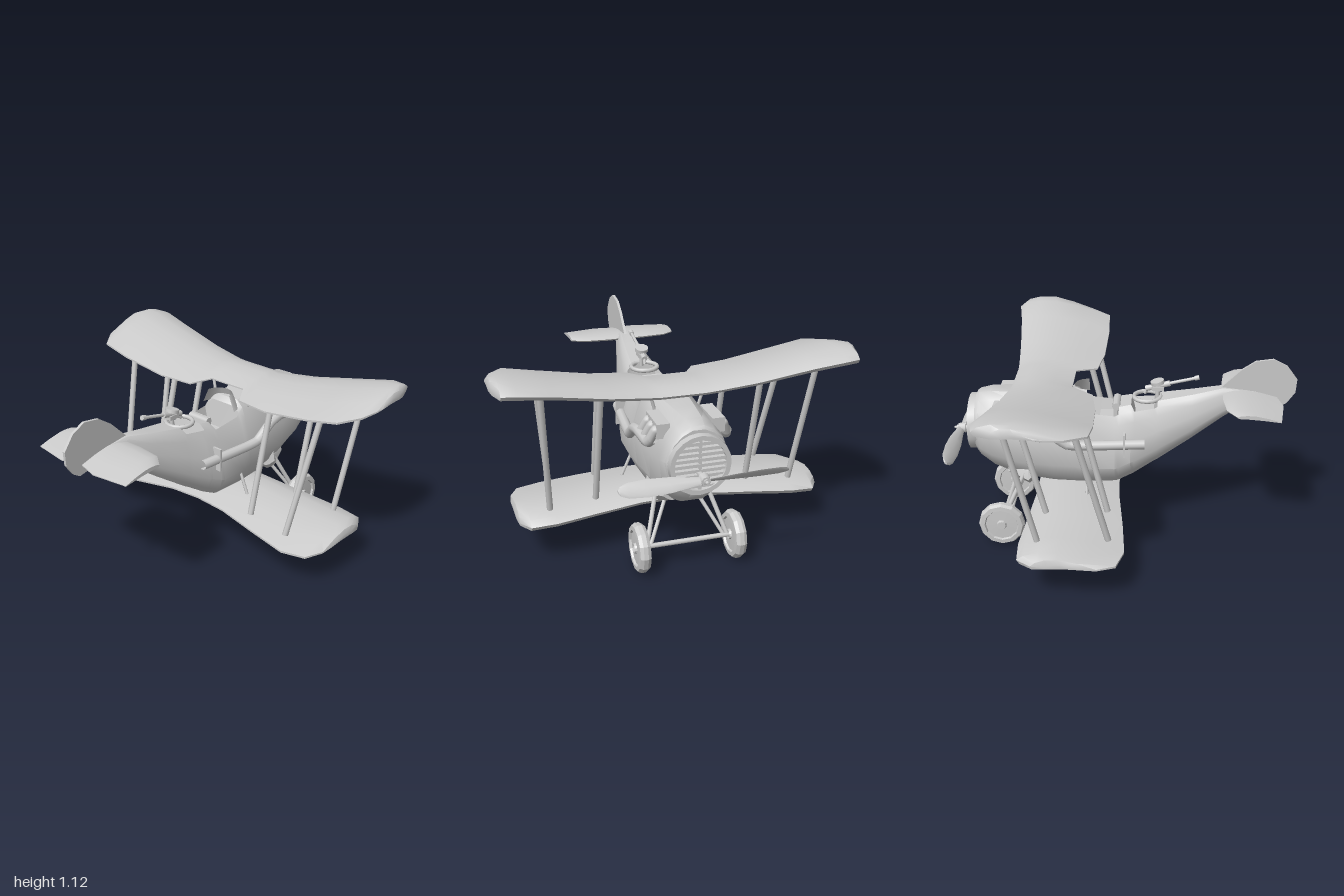
import * as THREE from 'three';
import { toCreasedNormals } from 'three/addons/utils/BufferGeometryUtils.js';

const mat = new THREE.MeshStandardMaterial({ color: 0xcccccc });
const matDouble = new THREE.MeshStandardMaterial({ color: 0xcccccc, side: THREE.DoubleSide });
const V = (x, y, z) => new THREE.Vector3(x, y, z);

export function createModel() {
  const model = new THREE.Group();
  const add = (name, geo, material = mat) => {
    const mesh = new THREE.Mesh(geo, material);
    mesh.name = name;
    model.add(mesh);
    return mesh;
  };

  // Skin a list of equal-length rings, closed at both ends
  const loft = (rings, crease = 0.6) => {
    const pos = [], idx = [], n = rings[0].length;
    rings.forEach(r => r.forEach(p => pos.push(p.x, p.y, p.z)));
    for (let i = 0; i < rings.length - 1; i++) for (let j = 0; j < n; j++) {
      const a = i * n + j, b = i * n + (j + 1) % n;
      idx.push(a, b, b + n, a, b + n, a + n);
    }
    [0, rings.length - 1].forEach((i, end) => {
      const c = rings[i].reduce((s, p) => s.add(p), V(0, 0, 0)).divideScalar(n);
      const k = pos.length / 3;
      pos.push(c.x, c.y, c.z);
      for (let j = 0; j < n; j++) {
        const a = i * n + j, b = i * n + (j + 1) % n;
        if (end) idx.push(k, a, b); else idx.push(k, b, a);
      }
    });
    const g = new THREE.BufferGeometry();
    g.setAttribute('position', new THREE.Float32BufferAttribute(pos, 3));
    g.setIndex(idx);
    return toCreasedNormals(g, crease);
  };

  // Round bar between two points
  const rod = (name, a, b, r, r2 = r, sides = 8) => {
    const d = b.clone().sub(a);
    const m = add(name, new THREE.CylinderGeometry(r2, r, d.length(), sides));
    m.position.copy(a).add(b).multiplyScalar(0.5);
    m.quaternion.setFromUnitVectors(V(0, 1, 0), d.normalize());
    return m;
  };
  const tube = (name, pts, r) => {
    const path = new THREE.CurvePath();
    pts.slice(1).forEach((p, i) => path.add(new THREE.LineCurve3(pts[i], p)));
    const curve = new THREE.CatmullRomCurve3(pts, false, 'catmullrom', 0.15);
    return add(name, new THREE.TubeGeometry(curve, 32, r, 10), matDouble);
  };

  // Fuselage: each row is z, bottom, top, half width, boxiness, cockpit depth
  const levels = [0, 0.08, 0.25, 0.55, 0.8, 0.93, 1];
  const round = [0.25, 0.54, 0.87, 1, 0.8, 0.51, 0.2];
  const boxy = [0.65, 0.8, 1, 0.93, 0.75, 0.62, 0.42];
  const section = ([z, yb, yt, w, k = 1, dip = 0]) => {
    const half = levels.map((f, i) => V(
      w * (dip && i === 6 ? 0.5 : THREE.MathUtils.lerp(round[i], boxy[i], k)),
      yb + (yt - yb) * f - (i === 6 ? dip : 0), z));
    return [...half, ...half.slice().reverse().map(p => V(-p.x, p.y, p.z))];
  };
  add('fuselage', loft([
    [-0.85, 0.5, 0.86, 0.165, 0], [-0.83, 0.47, 0.875, 0.175, 0], [-0.76, 0.42, 0.89, 0.185, 0.2],
    [-0.6, 0.37, 0.89, 0.195, 0.5], [-0.4, 0.36, 0.885, 0.2, 0.9], [-0.27, 0.36, 0.88, 0.2],
    [-0.24, 0.36, 0.85, 0.2], [-0.22, 0.36, 0.83, 0.2, 1, 0.14], [-0.04, 0.365, 0.81, 0.195, 1, 0.14],
    [-0.02, 0.37, 0.82, 0.19], [0.05, 0.405, 0.835, 0.18], [0.07, 0.415, 0.835, 0.175, 1, 0.1],
    [0.18, 0.485, 0.845, 0.15, 1, 0.1], [0.2, 0.495, 0.855, 0.145], [0.4, 0.63, 0.89, 0.105],
    [0.57, 0.75, 0.925, 0.06], [0.78, 0.88, 0.9, 0.01]].map(section)));
  add('bellyScoop', loft([[-0.67, 0.385, 0.5, 0.13], [-0.55, 0.325, 0.52, 0.17],
    [-0.52, 0.36, 0.58, 0.19]].map(section)));

  // Wings: each row is x, leading z, trailing z, leading y, trailing y, thickness
  const foil = [[0, 0.3], [0.07, 0.65], [0.22, 0.93], [0.42, 1], [0.7, 0.7], [1, 0.15],
    [1, 0], [0.6, 0.12], [0.25, 0.1], [0.03, 0]];
  const wing = (name, rows) => {
    const all = [...rows.slice(1).reverse().map(([x, ...r]) => [-x, ...r]), ...rows];
    return add(name, loft(all.map(([x, zl, zt, yl, yt, th]) =>
      foil.map(([t, u]) => V(x, yl + (yt - yl) * t + th * u, zl + (zt - zl) * t))), 0.7));
  };
  wing('upperWing', [[0, -0.62, -0.28, 0.945, 0.95, 0.05], [0.12, -0.62, -0.28, 0.945, 0.95, 0.05],
    [0.19, -0.625, -0.16, 0.95, 0.935, 0.055], [0.4, -0.645, -0.13, 0.975, 0.94, 0.06],
    [0.7, -0.68, -0.12, 1.03, 0.985, 0.07], [0.88, -0.71, -0.13, 1.06, 1.02, 0.075],
    [0.96, -0.69, -0.24, 1.06, 1.035, 0.075], [0.99, -0.6, -0.34, 1.06, 1.05, 0.06],
    [1, -0.54, -0.38, 1.065, 1.06, 0.03]]);
  wing('lowerWing', [[0, -0.5, -0.02, 0.285, 0.285, 0.07], [0.2, -0.5, -0.01, 0.28, 0.28, 0.07],
    [0.45, -0.52, 0.02, 0.26, 0.25, 0.075], [0.68, -0.54, 0.04, 0.24, 0.22, 0.08],
    [0.82, -0.53, 0, 0.23, 0.22, 0.08], [0.87, -0.45, -0.1, 0.23, 0.23, 0.065],
    [0.88, -0.38, -0.17, 0.24, 0.24, 0.03]]);
  wing('tailplane', [[0, 0.57, 0.88, 0.885, 0.865, 0.035], [0.12, 0.57, 0.91, 0.885, 0.86, 0.035],
    [0.26, 0.585, 0.89, 0.885, 0.86, 0.03], [0.33, 0.64, 0.88, 0.88, 0.86, 0.025]]);

  // Tail fin with rudder
  const fin = new THREE.Shape([[0.55, 0.91], [0.67, 1.03], [0.75, 1.085], [0.85, 1.1], [0.93, 1.06],
    [0.99, 0.98], [0.985, 0.9], [0.94, 0.835], [0.9, 0.81], [0.83, 0.825], [0.74, 0.87]]
    .map(p => new THREE.Vector2(...p)));
  const finGeo = new THREE.ExtrudeGeometry(fin, { depth: 0.016, bevelEnabled: false });
  add('tailFin', finGeo.rotateY(-Math.PI / 2).translate(0.008, 0, 0));

  // Nose ring and radiator grille
  const ring = new THREE.LatheGeometry([[0.14, -0.03], [0.165, -0.03], [0.165, 0.03], [0.14, 0.03], [0.14, -0.03]]
    .map(p => new THREE.Vector2(...p)), 20);
  add('noseRing', toCreasedNormals(ring.rotateX(Math.PI / 2), 0.6), matDouble).position.set(0, 0.68, -0.862);
  for (let i = -4; i <= 4; i++) {
    const y = i * 0.03;
    const bar = add('grilleSlat', new THREE.BoxGeometry(2 * Math.sqrt(0.145 ** 2 - y * y), 0.012, 0.025));
    bar.position.set(0, 0.68 + y, -0.872);
  }
  add('grillePost', new THREE.BoxGeometry(0.015, 0.28, 0.02)).position.set(0, 0.68, -0.872);

  // Propeller
  rod('propellerShaft', V(0, 0.63, -0.85), V(0, 0.63, -0.985), 0.016);
  rod('propellerHub', V(0, 0.63, -0.93), V(0, 0.63, -0.975), 0.032, 0.025, 10);
  rod('spinner', V(0, 0.63, -0.975), V(0, 0.63, -1), 0.014, 0.006);
  const blade = [[0.01, 0.02, 0.9], [0.08, 0.028, 0.85], [0.18, 0.042, 0.8], [0.3, 0.047, 0.75],
    [0.4, 0.04, 0.7], [0.44, 0.025, 0.7], [0.452, 0.01, 0.7]].map(([x, c, tilt]) =>
    Array.from({ length: 8 }, (_, i) => {
      const a = i * Math.PI / 4, u = Math.cos(a) * c, v = Math.sin(a) * 0.007;
      return V(x, u * Math.cos(tilt) - v * Math.sin(tilt), u * Math.sin(tilt) + v * Math.cos(tilt));
    }));
  for (const turn of [0, Math.PI]) {
    const b = add('propellerBlade', loft(blade));
    b.position.set(0, 0.63, -0.957);
    b.rotation.z = turn;
  }

  // Parts mirrored left and right
  const tyre = [[0, -0.02], [0.025, -0.035], [0.03, -0.022], [0.095, -0.02], [0.1, -0.032], [0.125, -0.03],
    [0.136, -0.012], [0.136, 0.012], [0.125, 0.03], [0.1, 0.032], [0.095, 0.02], [0.03, 0.022],
    [0.025, 0.035], [0, 0.035]].map(p => new THREE.Vector2(...p));
  for (const s of [1, -1]) {
    // Wing struts
    rod('innerRearStrut', V(s * 0.37, 0.96, -0.23), V(s * 0.37, 0.3, -0.07), 0.018);
    rod('innerFrontStrut', V(s * 0.44, 1, -0.58), V(s * 0.44, 0.31, -0.41), 0.018);
    rod('outerRearStrut', V(s * 0.72, 1.01, -0.23), V(s * 0.64, 0.28, -0.05), 0.018);
    rod('outerFrontStrut', V(s * 0.755, 1.06, -0.6), V(s * 0.7, 0.29, -0.43), 0.018);
    for (const z of [-0.33, -0.49]) {
      rod('cabaneStrut', V(s * 0.12, 0.83, z + 0.01), V(s * 0.16, 0.97, z), 0.009);
    }
    rod('wingRootBrace', V(s * 0.18, 0.46, -0.2), V(s * 0.24, 0.32, -0.2), 0.009);

    // Undercarriage
    const wheel = add('wheel', toCreasedNormals(new THREE.LatheGeometry(tyre, 12), 0.4));
    wheel.rotation.z = Math.PI / 2;
    wheel.position.set(s * 0.27, 0.14, -0.7);
    rod('frontWheelStrut', V(s * 0.23, 0.14, -0.7), V(s * 0.14, 0.42, -0.57), 0.013);
    rod('rearWheelStrut', V(s * 0.21, 0.14, -0.7), V(s * 0.07, 0.4, -0.56), 0.011);

    // Exhaust manifold, stubs and long pipe
    tube('exhaustPipe', [V(s * 0.2, 0.78, -0.71), V(s * 0.215, 0.74, -0.66), V(s * 0.22, 0.74, -0.5),
      V(s * 0.22, 0.72, -0.42), V(s * 0.215, 0.64, -0.31), V(s * 0.205, 0.63, -0.22),
      V(s * 0.17, 0.63, 0.13)], 0.029);
    for (const z of [-0.7, -0.63, -0.56]) {
      tube('exhaustStub', [V(s * 0.13, 0.825, z), V(s * 0.185, 0.82, z), V(s * 0.215, 0.74, z + 0.03)], 0.025);
    }
    add('cylinderBank', new THREE.BoxGeometry(0.07, 0.08, 0.2)).position.set(s * 0.15, 0.82, -0.63);
    add('pipeBracket', new THREE.BoxGeometry(0.08, 0.14, 0.012)).position.set(s * 0.17, 0.63, 0.015);
  }
  rod('axle', V(-0.27, 0.14, -0.7), V(0.27, 0.14, -0.7), 0.014);
  rod('axleSpreader', V(-0.22, 0.125, -0.67), V(0.22, 0.125, -0.67), 0.01);

  // Pilot's cockpit: windscreen, seat and padded rim
  const screen = new THREE.CylinderGeometry(0.08, 0.12, 0.09, 6, 1, true, Math.PI / 2, Math.PI);
  add('windscreen', screen, matDouble).position.set(0, 0.88, -0.2);
  add('pilotSeat', new THREE.BoxGeometry(0.14, 0.03, 0.09)).position.set(0, 0.72, -0.09);
  add('seatBack', new THREE.BoxGeometry(0.14, 0.14, 0.025)).position.set(0, 0.765, -0.04);
  rod('headrest', V(-0.07, 0.815, -0.035), V(0.07, 0.815, -0.035), 0.024);

  // Rear gunner's ring and gun
  const gunRing = add('gunRing', new THREE.TorusGeometry(0.077, 0.013, 8, 16));
  gunRing.rotation.x = Math.PI / 2;
  gunRing.position.set(0, 0.855, 0.14);
  rod('gunPost', V(0, 0.84, 0.2), V(0, 0.925, 0.2), 0.012);
  add('gunCradle', new THREE.BoxGeometry(0.045, 0.025, 0.07)).position.set(0, 0.91, 0.2);
  rod('gunBody', V(0, 0.905, 0.13), V(0, 0.94, 0.27), 0.018);
  rod('gunBarrel', V(0, 0.938, 0.26), V(0, 0.978, 0.43), 0.01);
  rod('gunMuzzle', V(0, 0.973, 0.41), V(0, 0.98, 0.435), 0.015);
  rod('gunGrip', V(0, 0.905, 0.14), V(0, 0.875, 0.125), 0.01);
  rod('gunMagazine', V(0, 0.935, 0.2), V(0, 0.955, 0.195), 0.04, 0.04, 12);
  return model;
}
